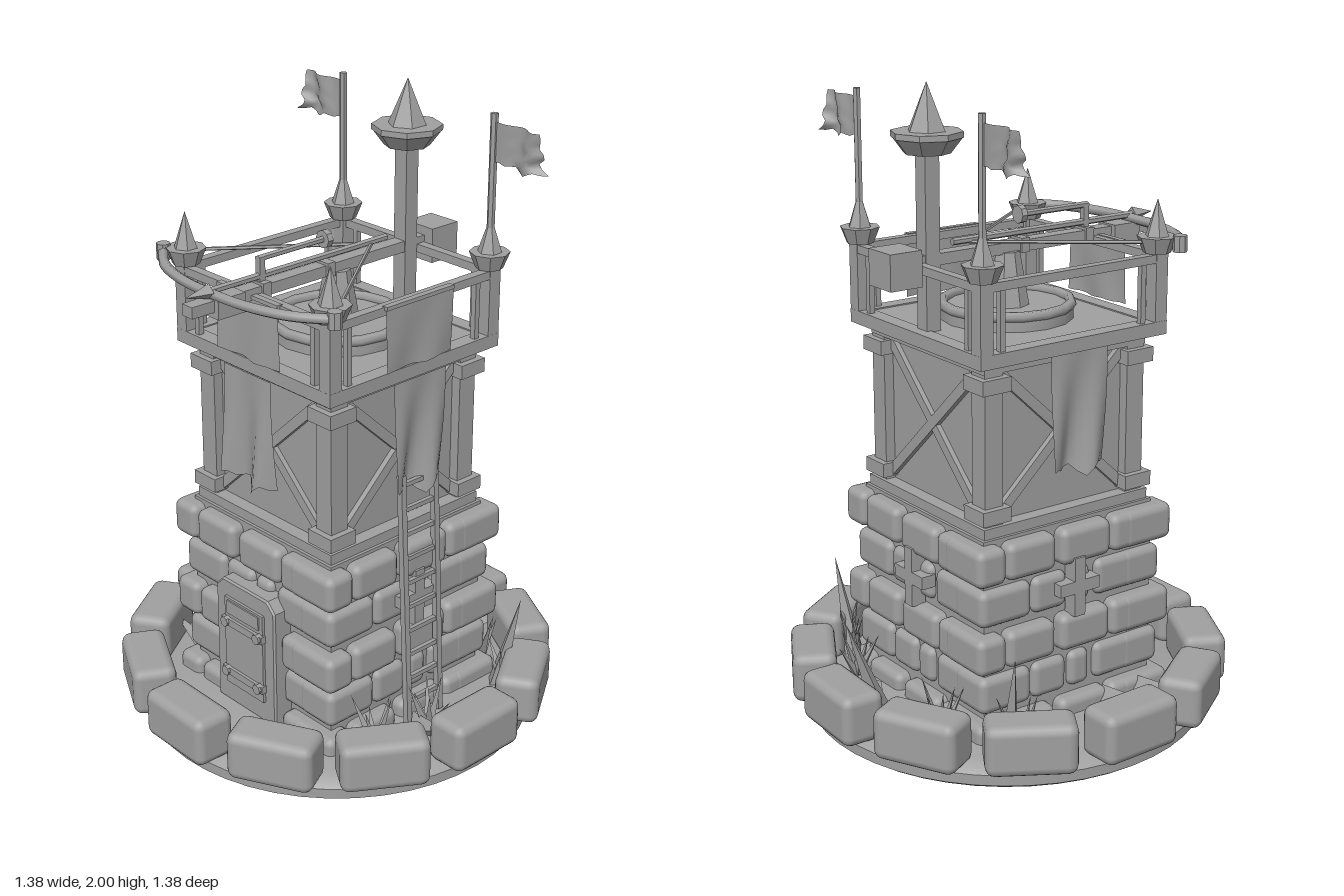
import * as THREE from 'three';
import { toCreasedNormals } from 'three/addons/utils/BufferGeometryUtils.js';
import { RoundedBoxGeometry } from 'three/addons/geometries/RoundedBoxGeometry.js';

export function createModel() {
  const model = new THREE.Group();
  model.name = 'watchtower';
  const grey = new THREE.MeshStandardMaterial({ color: 0xa0a0a0, side: THREE.DoubleSide });
  grey.name = 'stone grey';

  const add = (name, geo, x = 0, y = 0, z = 0, parent = model) => {
    const m = new THREE.Mesh(geo, grey);
    m.name = name;
    m.position.set(x, y, z);
    parent.add(m);
    return m;
  };
  const box = (name, w, h, d, x, y, z, parent) => add(name, new THREE.BoxGeometry(w, h, d), x, y, z, parent);
  const stone = (name, w, h, d, x, y, z, parent, r = 0.026) =>
    add(name, new RoundedBoxGeometry(w, h, d, 2, r), x, y, z, parent);
  const facet = (rt, rb, h, n) => toCreasedNormals(new THREE.CylinderGeometry(rt, rb, h, n), 0.5);
  // square bar or tapered spike running between two points
  const between = (m, a, b) => {
    const A = new THREE.Vector3(...a), B = new THREE.Vector3(...b);
    m.position.copy(A).add(B).multiplyScalar(0.5);
    m.quaternion.setFromUnitVectors(new THREE.Vector3(0, 1, 0), B.sub(A).normalize());
    return m;
  };
  const dist = (a, b) => Math.hypot(a[0] - b[0], a[1] - b[1], a[2] - b[2]);
  const bar = (name, a, b, w, d = w, parent = model) =>
    between(add(name, new THREE.BoxGeometry(w, dist(a, b), d), 0, 0, 0, parent), a, b);
  const spike = (name, a, b, r, n = 4) => between(add(name, facet(0, r, dist(a, b), n)), a, b);
  const rod = (name, a, b, r, n = 8) => between(add(name, facet(r, r, dist(a, b), n)), a, b);
  // group turned so that its +z faces one side of the tower: 0 front, 1 left, 2 back, 3 right
  const side = (name, i) => {
    const g = new THREE.Group();
    g.name = name;
    g.rotation.y = i * Math.PI / 2;
    model.add(g);
    return g;
  };
  // rippled cloth hanging from y = 0, ragged at the bottom or the free end
  const cloth = (w, h, amp, ragged, end) => {
    const g = new THREE.PlaneGeometry(w, h, 10, 8);
    const p = g.attributes.position;
    for (let i = 0; i < p.count; i++) {
      const u = p.getX(i) / w + 0.5, v = 0.5 - p.getY(i) / h;
      const jag = ragged * (Math.sin(u * 17 + 1) + Math.sin(u * 8)) * 0.5;
      p.setXYZ(i, (u - 0.5) * w + (end ? end * v * Math.sin(v * 14) * u : 0),
        -v * h + jag * v, amp * Math.sin(u * 9 + v * 1.5) * (end ? u : v));
    }
    g.computeVertexNormals();
    return g;
  };

  // round base and ring of boulders
  const rim = [[0, 0], [0.62, 0], [0.637, 0.012], [0.637, 0.045], [0.62, 0.06], [0.58, 0.075], [0, 0.08]];
  add('base', toCreasedNormals(new THREE.LatheGeometry(rim.map(p => new THREE.Vector2(...p)), 48), 0.4));
  for (let i = 0; i < 12; i++) {
    const a = i * Math.PI / 6, k = Math.sin(i * 5.3);
    const s = stone('ringStone', 0.14, 0.16, 0.275, 0.62 * Math.cos(a), 0.142, 0.62 * Math.sin(a), model, 0.03);
    s.rotation.y = -a + k * 0.05;
  }

  // stone storey: core and courses of rounded blocks
  box('stoneCore', 0.64, 0.66, 0.64, 0, 0.37, 0);
  const courses = [
    [0.37, [[-0.26, -0.08], [-0.06, 0.13], [0.135, 0.26]]],
    [0.345, [[-0.15, -0.02], [-0.01, 0.07]]],
  ];
  for (let r = 0; r < 5; r++) {
    const [e, cuts] = courses[r % 2], y = 0.63 - r * 0.14, long = r % 2 ? 0.19 : 0.105;
    for (let i = 0; i < 4; i++) {
      const g = side('blockCourse', i);
      stone('cornerBlock', long, 0.118, r % 2 ? 0.15 : 0.19, -e + long / 2, y, e - (r % 2 ? 0.075 : 0.095), g);
      if (r % 2) stone('cornerBlock', 0.25, 0.118, 0.1, e - 0.13, y, e - 0.052, g);
      for (const [a, b] of cuts) stone('block', b - a, 0.118, 0.1, (a + b) / 2, y, e - 0.052, g);
    }
  }

  // door with panel, hatch and iron straps
  const ds = new THREE.Shape([[-0.135, 0.08], [0.13, 0.08], [0.13, 0.48], [0.1, 0.51], [-0.105, 0.51], [-0.135, 0.48]]
    .map(p => new THREE.Vector2(...p)));
  add('door', new THREE.ExtrudeGeometry(ds, { depth: 0.06, bevelSize: 0.006, bevelThickness: 0.006, bevelSegments: 1 }), 0, 0, 0.32);
  box('doorPanel', 0.18, 0.31, 0.02, 0, 0.305, 0.385);
  box('doorHatch', 0.15, 0.045, 0.02, 0, 0.43, 0.39);
  for (const y of [0.38, 0.2]) {
    box('doorStrap', 0.19, 0.025, 0.02, 0, y, 0.395);
    for (const x of [-0.075, 0.075]) add('doorBolt', facet(0.017, 0.017, 0.03, 8), x, y, 0.398).rotation.x = Math.PI / 2;
  }

  // cross-shaped loopholes
  for (const i of [1, 2, 3]) {
    const g = side('loophole', i);
    box('crossUpright', 0.04, 0.19, 0.05, 0, 0.5, 0.35, g);
    box('crossArm', 0.15, 0.04, 0.05, 0, 0.5, 0.35, g);
  }

  // ladder leaning on the left side
  const ladderX = y => 0.4 - (y - 0.1) * 0.055;
  for (const z of [-0.068, 0.068]) bar('ladderStile', [ladderX(0.08), 0.08, z], [ladderX(0.93), 0.93, z], 0.02);
  for (let y = 0.16; y < 0.9; y += 0.082) box('ladderRung', 0.014, 0.014, 0.15, ladderX(y), y, 0);

  // timber storey
  box('timberWall', 0.53, 0.54, 0.53, 0, 0.97, 0);
  for (let i = 0; i < 4; i++) {
    const g = side('timberSide', i);
    box('cornerPost', 0.065, 0.54, 0.065, 0.265, 0.97, 0.265, g);
    box('lowerCollar', 0.1, 0.045, 0.1, 0.268, 0.767, 0.268, g);
    box('upperCollar', 0.1, 0.045, 0.1, 0.268, 1.165, 0.268, g);
    box('sillBeam', 0.62, 0.035, 0.05, 0, 0.715, 0.285, g);
    box('headBeam', 0.6, 0.035, 0.04, 0, 1.215, 0.28, g);
    bar('brace', [-0.235, 0.755, 0.272], [0.235, 1.195, 0.272], 0.032, 0.022, g);
    bar('brace', [0.235, 0.755, 0.27], [-0.235, 1.195, 0.27], 0.032, 0.022, g);
    // parapet
    box('deckBeam', 0.69, 0.042, 0.05, 0, 1.25, 0.32, g);
    box('parapetPost', 0.045, 0.22, 0.045, 0.322, 1.375, 0.322, g);
    box('parapetRail', 0.66, 0.026, 0.03, 0, 1.465, 0.328, g);
    for (const x of [-0.26, 0.26]) box('baluster', 0.018, 0.19, 0.018, x, 1.36, 0.325, g);
    if (i !== 2) add('hangingBanner', cloth(0.21, 0.36, 0.024, 0.025), 0, 1.235, 0.358, g);
    if (i < 2) {
      add('parapetBanner', cloth(0.27, 0.2, 0.006, 0.004), 0, 1.475, 0.352, g);
      box('bannerRod', 0.27, 0.012, 0.02, 0, 1.475, 0.345, g);
    }
  }
  box('deck', 0.65, 0.03, 0.65, 0, 1.252, 0);

  // corner finials, the back pair carrying flags
  for (const x of [-0.32, 0.32]) for (const z of [-0.32, 0.32]) {
    add('finialCup', facet(0.062, 0.042, 0.05, 8), x, 1.505, z);
    add('finialSpike', facet(0, 0.038, 0.115, 6), x, 1.585, z);
    if (z < 0) {
      add('flagPole', facet(0.012, 0.012, 0.44, 6), x, 1.73, z);
      const f = add('flag', cloth(0.175, 0.125, 0.02, 0.012, 0.02), x + Math.sign(x) * 0.092, 1.925, z);
      if (x < 0) f.rotation.y = Math.PI;
    }
  }

  // tall mast
  box('mast', 0.05, 0.56, 0.05, 0, 1.54, -0.285);
  add('mastCup', facet(0.108, 0.07, 0.05, 8), 0, 1.82, -0.285);
  add('mastCupRim', facet(0.108, 0.108, 0.018, 8), 0, 1.85, -0.285);
  add('mastSpike', facet(0, 0.06, 0.142, 6), 0, 1.929, -0.285);

  // turntable and giant crossbow
  add('turntable', facet(0.205, 0.205, 0.04, 16), 0, 1.285, 0);
  const ring = add('turntableRing', new THREE.TorusGeometry(0.198, 0.016, 6, 16), 0, 1.312, 0);
  ring.rotation.x = Math.PI / 2;
  add('pivot', facet(0.04, 0.07, 0.17, 8), 0, 1.385, 0);
  box('stock', 0.045, 0.035, 0.93, 0, 1.482, 0.105);
  box('counterweight', 0.115, 0.11, 0.11, 0, 1.472, -0.4);
  box('bowMount', 0.08, 0.06, 0.1, 0, 1.475, 0.44);
  for (const z of [0.05, 0.3]) box('stockClamp', 0.06, 0.045, 0.03, 0, 1.485, z);
  rod('bolt', [0, 1.522, -0.2], [0, 1.522, 0.5], 0.011, 6);
  spike('boltHead', [0, 1.522, 0.49], [0, 1.522, 0.575], 0.024);
  rod('sightRod', [0, 1.575, 0.05], [0, 1.575, 0.31], 0.01, 6);
  rod('sightKnob', [0, 1.575, 0.04], [0, 1.575, 0.06], 0.028, 8);
  box('sightPost', 0.02, 0.08, 0.02, 0, 1.54, 0.3);
  const arc = new THREE.CatmullRomCurve3([[-0.385, 0.355], [-0.28, 0.43], [-0.14, 0.472], [0, 0.48], [0.14, 0.472], [0.28, 0.43], [0.385, 0.355]]
    .map(([x, z]) => new THREE.Vector3(x, 1.512, z)));
  add('bow', new THREE.TubeGeometry(arc, 24, 0.016, 6));
  for (const s of [-1, 1]) {
    add('bowTip', facet(0.022, 0.022, 0.05, 8), s * 0.38, 1.512, 0.358);
    rod('bowString', [s * 0.375, 1.515, 0.36], [0, 1.515, -0.14], 0.006, 5);
  }

  // thorns, grass tufts and flat shards on the ground
  spike('thorn', [0.42, 0.07, -0.32], [0.485, 0.4, -0.345], 0.035);
  spike('thorn', [-0.43, 0.07, -0.31], [-0.495, 0.4, -0.335], 0.035);
  spike('thorn', [0, 0.07, -0.48], [0, 0.4, -0.6], 0.035);
  const tufts = [[-0.45, -0.28], [-0.24, -0.42], [0.27, -0.4], [0.44, -0.33], [0.45, 0.03], [0.41, 0.22]];
  tufts.forEach(([x, z], t) => {
    for (let k = 0; k < 6; k++) {
      const a = k * 1.05 + t * 0.7, l = 0.05 + 0.025 * (k % 2);
      spike('grassBlade', [x, 0.07, z], [x + l * Math.cos(a), 0.19 + 0.03 * (k % 3), z + l * Math.sin(a)], 0.018, 3);
    }
  });
  const shards = [[0.11, -0.42, 0.21, -0.61], [-0.36, 0.12, -0.54, 0.13], [-0.37, 0.25, -0.53, 0.26], [0.43, 0.05, 0.59, 0.08]];
  for (const [x0, z0, x1, z1] of shards) {
    const s = spike('groundShard', [x0, 0.08, z0], [x1, 0.15, z1], 0.05);
    s.scale.z = 0.7;
  }
  return model;
}
